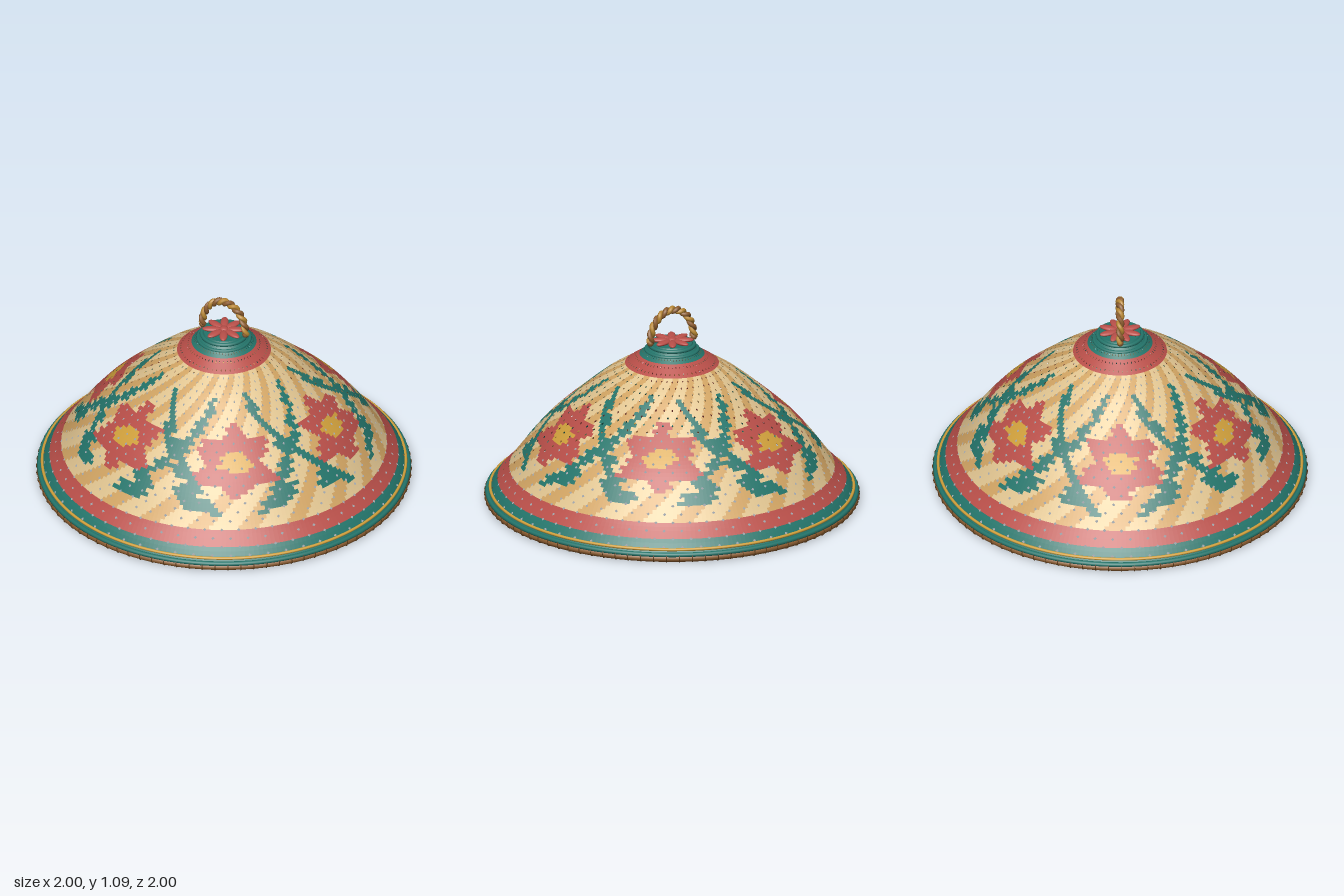
import * as THREE from 'three';
import { mergeGeometries } from 'three/addons/utils/BufferGeometryUtils.js';

const COLS = 240, ROWS = 52, STEP = (Math.PI * 2) / COLS;

function material(name, color, side = THREE.FrontSide) {
  const m = new THREE.MeshStandardMaterial({ color, side });
  m.name = name;
  return m;
}

// Dome profile (radius, height) from rim to crown, in evenly spaced rows
const profile = new THREE.SplineCurve([
  [0.982, 0.04], [0.94, 0.1], [0.865, 0.183], [0.75, 0.335], [0.635, 0.462],
  [0.39, 0.675], [0.258, 0.765], [0.165, 0.828], [0.12, 0.868],
].map(([r, y]) => new THREE.Vector2(r, y))).getSpacedPoints(ROWS);

// Leaves on one side of a flower: [angle, height, angle, height]
const leaves = [
  [12, 0.7, 19, 0.59], [18, 0.61, 25, 0.53], [22, 0.55, 31, 0.45],
  [28, 0.46, 21, 0.38], [22, 0.4, 16, 0.32], [17, 0.32, 9, 0.25], [24, 0.35, 18, 0.27],
];
const ARC = 0.011, SLOPE = 1.47;

// Each leaf is widest at its middle and pointed at its ends
function inLeaf(u, y) {
  const px = u * ARC, py = y * SLOPE;
  return leaves.some(([u1, y1, u2, y2]) => {
    const ax = u1 * ARC, ay = y1 * SLOPE, dx = u2 * ARC - ax, dy = y2 * SLOPE - ay;
    const t = THREE.MathUtils.clamp(((px - ax) * dx + (py - ay) * dy) / (dx * dx + dy * dy), 0, 1);
    return Math.hypot(px - ax - t * dx, py - ay - t * dy) < 0.01 + 0.096 * t * (1 - t);
  });
}

// Strand colour for one cell of the weave
function cellColour(i, j) {
  const y = (profile[j].y + profile[j + 1].y) / 2;
  if (y < 0.112 || y > 0.828) return 'teal';
  if (y < 0.176 || y > 0.765) return 'red';
  const stitch = 3 * Math.floor((i + j) / 3) + 1.5 - j; // stepped three-cell stitches
  const u = (THREE.MathUtils.euclideanModulo(stitch, 40) - 20) * 1.5;
  const a = u * ARC, v = (y - 0.459) * SLOPE;
  if (Math.hypot(a / 0.085, v / 0.058) < 1) return 'gold';
  if (Math.hypot(a, v) < 0.188 - 0.04 * Math.cos(6 * Math.atan2(v, a))) return 'red';
  if (inLeaf(Math.abs(u), y)) return 'teal';
  return THREE.MathUtils.euclideanModulo(i - j, 12) < 5 ? 'tan' : 'straw';
}

function surfacePoint(i, j) {
  const j0 = Math.min(Math.floor(j), ROWS - 1), f = j - j0;
  const p = profile[j0].clone().lerp(profile[j0 + 1], f);
  return [p.x * Math.sin(i * STEP), p.y, p.x * Math.cos(i * STEP)];
}

const isHole = (i, j) => j > 0 && j < ROWS && j % 2 === 0 && (i + j) % 4 === 0;

// Open weave: each cell loses the corners that meet at a hole
function weaveGeometries() {
  const buckets = {};
  const corners = [[0, 0], [1, 0], [1, 1], [0, 1]];
  for (let j = 0; j < ROWS; j++) for (let i = 0; i < COLS; i++) {
    const poly = [];
    corners.forEach(([cx, cy], k) => {
      if (!isHole(i + cx, j + cy)) { poly.push(surfacePoint(i + cx, j + cy)); return; }
      const cut = [Math.min(0.45, 0.009 / (profile[j + cy].x * STEP)), 0.36];
      for (const [nx, ny] of [corners[(k + 3) % 4], corners[(k + 1) % 4]])
        poly.push(surfacePoint(i + cx + (nx - cx) * cut[0], j + cy + (ny - cy) * cut[1]));
    });
    const out = (buckets[cellColour(i, j)] ??= []);
    for (let k = 1; k < poly.length - 1; k++) out.push(...poly[0], ...poly[k], ...poly[k + 1]);
  }
  return Object.entries(buckets).map(([name, pos]) => {
    const g = new THREE.BufferGeometry();
    g.setAttribute('position', new THREE.Float32BufferAttribute(pos, 3));
    g.computeVertexNormals();
    return [name, g];
  });
}

// One strand of the twisted arch handle
function ropeStrand(phase) {
  const pts = [], n = 120;
  for (let k = 0; k <= n; k++) {
    const a = (k / n) * Math.PI, tw = (k / n) * Math.PI * 2 * 6 + phase;
    const off = 0.01 * Math.cos(tw);
    pts.push(new THREE.Vector3((0.126 + off) * Math.cos(a), 0.9 + (0.168 + off) * Math.sin(a), 0.01 * Math.sin(tw)));
  }
  return new THREE.TubeGeometry(new THREE.CatmullRomCurve3(pts), 160, 0.0125, 8);
}

export function createModel() {
  const model = new THREE.Group();
  model.name = 'wovenFoodCover';
  const mats = {
    straw: material('straw', 0xe0c490, THREE.DoubleSide),
    tan: material('tan', 0xd1a463, THREE.DoubleSide),
    red: material('red', 0xb94f49, THREE.DoubleSide),
    teal: material('teal', 0x24756b, THREE.DoubleSide),
    gold: material('gold', 0xd0a03c, THREE.DoubleSide),
    brown: material('brown', 0x8d5d30),
    darkBrown: material('dark brown', 0x64431f),
    rope: material('rope', 0xb98834),
  };
  const add = (name, geometry, mat, parent = model) => {
    const mesh = new THREE.Mesh(geometry, mats[mat]);
    mesh.name = name;
    parent.add(mesh);
    return mesh;
  };
  const ring = (name, radius, tube, y, mat, sides = 120) =>
    add(name, new THREE.TorusGeometry(radius, tube, 10, sides).rotateX(Math.PI / 2).translate(0, y, 0), mat);

  // Woven dome
  const dome = new THREE.Group();
  dome.name = 'wovenDome';
  model.add(dome);
  for (const [name, g] of weaveGeometries()) add(name + 'Strands', g, name, dome);

  // Bound rim: brown hoop below, teal edge and gold cord above
  ring('rim', 0.976, 0.018, 0.023, 'brown');
  ring('rimEdge', 0.98, 0.013, 0.044, 'teal');
  ring('rimCord', 0.966, 0.008, 0.069, 'gold');
  const lashings = [];
  for (let k = 0; k < 90; k++)
    lashings.push(new THREE.TorusGeometry(0.021, 0.0025, 5, 12)
      .scale(1, 1.15, 1).translate(0.976, 0.028, 0).rotateY((k / 90) * Math.PI * 2));
  add('rimLashings', mergeGeometries(lashings), 'darkBrown');

  // Crown collar
  ring('collarRing', 0.138, 0.01, 0.846, 'teal', 64);
  add('collar', new THREE.CylinderGeometry(0.108, 0.13, 0.04, 48).translate(0, 0.867, 0), 'teal');
  ring('upperCollarRing', 0.118, 0.011, 0.872, 'teal', 64);

  // Rosette of eight petals
  const rosette = new THREE.Group();
  rosette.name = 'rosette';
  model.add(rosette);
  for (let k = 0; k < 8; k++) {
    const petal = new THREE.SphereGeometry(1, 16, 10).scale(0.053, 0.012, 0.022)
      .translate(0.064, 0.897, 0).rotateY(((k + 0.5) / 8) * Math.PI * 2);
    add('petal', petal, 'red', rosette);
  }
  add('rosetteCentre', new THREE.SphereGeometry(1, 16, 10).scale(0.025, 0.014, 0.025).translate(0, 0.898, 0), 'red', rosette);

  // Twisted rope handle
  const handle = new THREE.Group();
  handle.name = 'handle';
  model.add(handle);
  add('lightStrand', ropeStrand(0), 'rope', handle);
  add('darkStrand', ropeStrand(Math.PI), 'brown', handle);
  for (const x of [-0.126, 0.126])
    add('handleEnd', new THREE.SphereGeometry(0.018, 12, 8).translate(x, 0.897, 0), 'brown', handle);

  return model;
}
